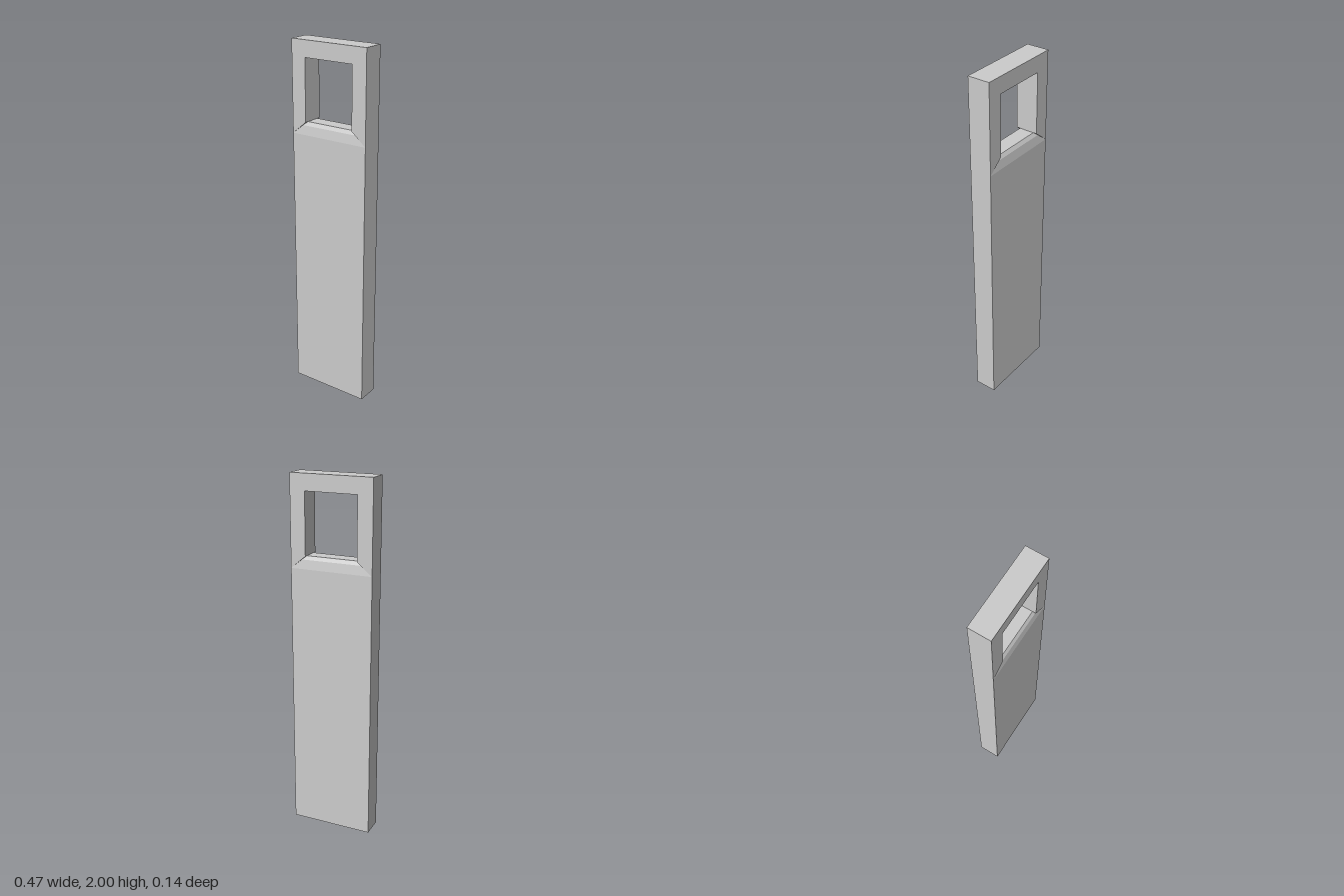
import * as THREE from 'three';

const W = 0.2335, D = 0.0615;          // half width and half depth
const HOLE = 0.148, SILL = 1.57, LINTEL = 1.91, SHOULDER = 1.5, TOP = 2;

// slight twist and skew of the footprint
const skew = new THREE.Matrix4().makeBasis(
  new THREE.Vector3(1, 0, -0.032),
  new THREE.Vector3(0, 1, 0),
  new THREE.Vector3(0.056, 0, 1));

// stack of rectangles [y, halfWidth, halfDepth] joined into a closed solid
function loft(rows) {
  const pos = [];
  const ring = ([y, w, d]) => [[-w, y, d], [w, y, d], [w, y, -d], [-w, y, -d]];
  const quad = (a, b, c, d) => pos.push(...a, ...b, ...c, ...a, ...c, ...d);
  const rings = rows.map(ring);
  for (let i = 0; i < rings.length - 1; i++) {
    const lo = rings[i], hi = rings[i + 1];
    for (let k = 0; k < 4; k++) {
      const n = (k + 1) % 4;
      quad(lo[k], lo[n], hi[n], hi[k]);
    }
  }
  const b = rings[0], t = rings[rings.length - 1];
  quad(b[3], b[2], b[1], b[0]);
  quad(t[0], t[1], t[2], t[3]);
  const g = new THREE.BufferGeometry();
  g.setAttribute('position', new THREE.Float32BufferAttribute(pos, 3));
  return g;
}

export function createModel() {
  const group = new THREE.Group();
  group.name = 'slab';
  const material = new THREE.MeshStandardMaterial({ color: 0xcccccc });

  const add = (name, geometry) => {
    geometry.applyMatrix4(skew);
    geometry.computeVertexNormals();
    const mesh = new THREE.Mesh(geometry, material);
    mesh.name = name;
    group.add(mesh);
  };

  // tall body, ending in a sill bevelled on front and back
  add('body', loft([
    [0, W, D],
    [SHOULDER, W, D],
    [1.55, 0.172, D - 0.008],
    [SILL, HOLE, D - 0.02],
  ]));

  // frame around the window, mitred down to the shoulders
  const outline = new THREE.Shape([
    [-W, SHOULDER], [-HOLE, SILL], [-HOLE, LINTEL], [HOLE, LINTEL],
    [HOLE, SILL], [W, SHOULDER], [W, TOP], [-W, TOP],
  ].map(([x, y]) => new THREE.Vector2(x, y)));
  const frame = new THREE.ExtrudeGeometry(outline, { depth: 2 * D, bevelEnabled: false });
  frame.translate(0, 0, -D);
  add('windowFrame', frame);

  return group;
}
